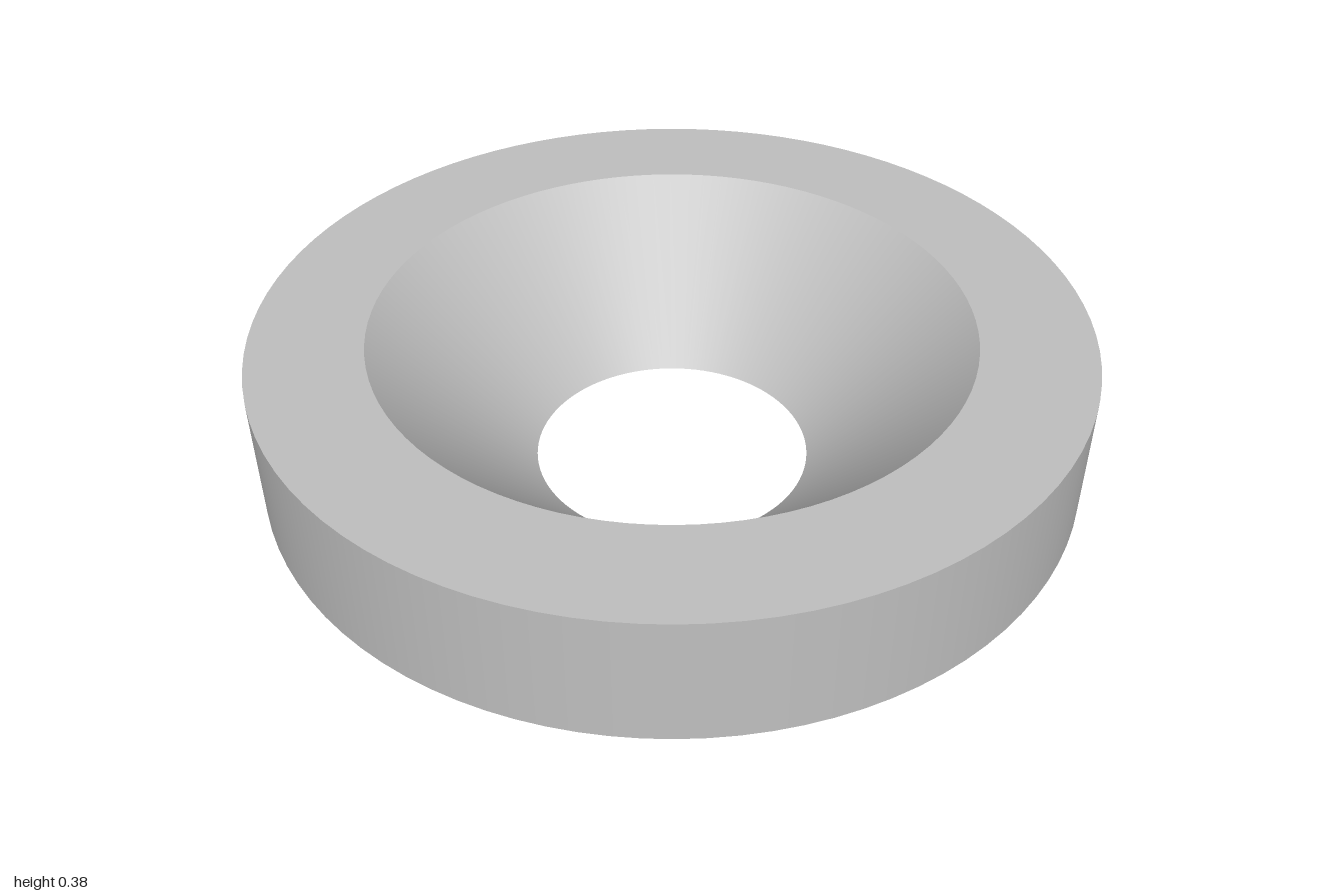
import * as THREE from 'three';

export function createModel() {
  const group = new THREE.Group();
  group.name = 'countersunkWasher';
  const steel = new THREE.MeshStandardMaterial({ color: 0xc0c0c0 });
  steel.name = 'plain steel';

  const height = 0.385, chamfer = 0.065, outer = 1, hole = 0.34;
  const sink = hole + height; // 45 degree countersink

  // Closed profile, bottom face outwards and round to the hole again
  const profile = [
    [hole, 0], [outer - chamfer, 0], [outer, chamfer],
    [outer, height], [sink, height], [hole, 0],
  ].map(([r, y]) => new THREE.Vector2(r, y));
  const names = ['bottomFace', 'bottomChamfer', 'outerWall', 'topFace', 'countersink'];

  // One turned surface per profile edge keeps the rims sharp
  names.forEach((name, i) => {
    const surface = new THREE.LatheGeometry([profile[i], profile[i + 1]], 96);
    const mesh = new THREE.Mesh(surface, steel);
    mesh.name = name;
    group.add(mesh);
  });
  return group;
}
